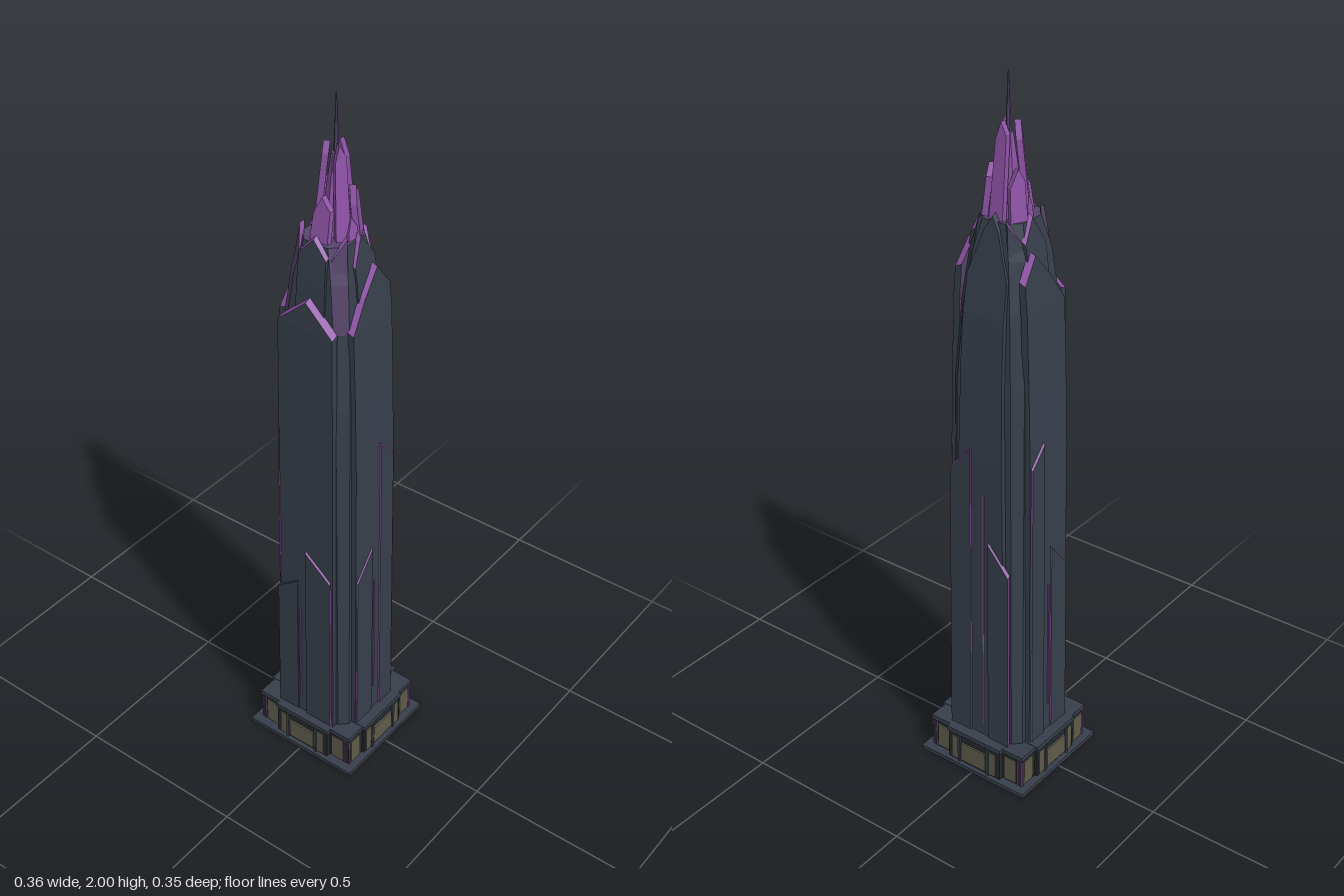
import * as THREE from 'three';

const flat = (name, color) => {
  const m = new THREE.MeshStandardMaterial({ color });
  m.name = name;
  m.flatShading = true;
  return m;
};

// Piecewise linear lookup in [[y, value], ...]
function lookup(knots, y) {
  if (y <= knots[0][0]) return knots[0][1];
  for (let i = 1; i < knots.length; i++) {
    const [y0, a] = knots[i - 1], [y1, b] = knots[i];
    if (y <= y1) return a + (b - a) * (y - y0) / (y1 - y0);
  }
  return knots[knots.length - 1][1];
}

// Geometry from quads, split into one group per material slot
function quadGeometry(slots) {
  const pos = [], geo = new THREE.BufferGeometry();
  slots.forEach((quads, slot) => {
    const start = pos.length / 3;
    for (const [a, b, c, d] of quads) pos.push(...a, ...b, ...c, ...a, ...c, ...d);
    geo.addGroup(start, pos.length / 3 - start, slot);
  });
  geo.setAttribute('position', new THREE.Float32BufferAttribute(pos, 3));
  geo.computeVertexNormals();
  return geo;
}

export function createModel() {
  const root = new THREE.Group();
  root.name = 'skyscraper';
  const slate = flat('slate cladding', 0x373f4b);
  const shade = flat('dark recess', 0x24272d);
  const violet = flat('violet glass', 0x8e53a6);
  const dusk = flat('dusky violet glass', 0x56456a);
  const khaki = flat('khaki windows', 0x5f5c4b);

  const box = (name, mat, w, h, d, x, y, z, parent = root) => {
    const m = new THREE.Mesh(new THREE.BoxGeometry(w, h, d), mat);
    m.name = name;
    m.position.set(x, y, z);
    parent.add(m);
  };

  // Curved wall slab: cols are [x, top height], reach gives distance from the axis by height.
  // Slot 0 is the outside, slot 1 the bevelled rim, slot 2 the inside; the ends may glow too.
  function panel(name, angle, cols, reach, o = {}) {
    const { bottom = 0.1, thick = 0.02, taper = 0.06, bevel = 0.008, glowEnds = false, mats = [slate, violet, dusk] } = o;
    const levels = [bottom, ...reach.map(k => k[0]).filter(y => y > bottom), 3];
    const point = (c, k, inset) => {
      const y = Math.min(levels[k], c[1]);
      const rise = inset && y === c[1] ? bevel : 0;
      return [c[0] * (1 - taper * (y - bottom)), y + rise, lookup(reach, y) - inset];
    };
    const outer = [], rim = [], inner = [], last = levels.length - 1;
    for (let i = 0; i + 1 < cols.length; i++) {
      const a = cols[i], b = cols[i + 1];
      for (let k = 0; k < last; k++) {
        if (levels[k] >= Math.max(a[1], b[1])) continue;
        outer.push([point(a, k, 0), point(b, k, 0), point(b, k + 1, 0), point(a, k + 1, 0)]);
        inner.push([point(b, k, thick), point(a, k, thick), point(a, k + 1, thick), point(b, k + 1, thick)]);
      }
      rim.push([point(a, last, 0), point(b, last, 0), point(b, last, thick), point(a, last, thick)]);
    }
    const l = cols[0], r = cols[cols.length - 1], ends = glowEnds ? rim : outer;
    for (let k = 0; k < last; k++) {
      ends.push([point(l, k, thick), point(l, k, 0), point(l, k + 1, 0), point(l, k + 1, thick)]);
      ends.push([point(r, k, 0), point(r, k, thick), point(r, k + 1, thick), point(r, k + 1, 0)]);
    }
    const m = new THREE.Mesh(quadGeometry([outer, rim, inner]), mats);
    m.name = name;
    m.rotation.y = angle;
    root.add(m);
  }
  // Same slab on both flanks, cols given as [z, top] from back to front
  function flanks(name, cols, reach, o) {
    panel(name + 'Left', Math.PI / 2, cols.map(([z, t]) => [-z, t]).reverse(), reach, o);
    panel(name + 'Right', -Math.PI / 2, cols, reach, o);
  }
  const grow = (reach, d) => reach.map(([y, r]) => [y, r + d]);

  // Ground plate and stepped podium
  box('groundPlate', slate, 0.36, 0.012, 0.348, 0, 0.006, 0);
  box('podium', shade, 0.314, 0.1, 0.294, 0, 0.062, 0);
  box('podiumCornice', slate, 0.32, 0.014, 0.3, 0, 0.109, 0);
  box('podiumBayDepth', shade, 0.18, 0.098, 0.322, 0, 0.06, 0);
  box('podiumBayWidth', shade, 0.33, 0.098, 0.17, 0, 0.06, 0);
  box('bayCorniceDepth', slate, 0.186, 0.014, 0.328, 0, 0.11, 0);
  box('bayCorniceWidth', slate, 0.336, 0.014, 0.176, 0, 0.11, 0);

  // Podium windows, pilasters and corner lights on each side
  for (let s = 0; s < 4; s++) {
    const side = new THREE.Group();
    side.name = 'podiumSide';
    side.rotation.y = s * Math.PI / 2;
    root.add(side);
    const bay = s % 2 ? 0.165 : 0.161, wall = s % 2 ? 0.157 : 0.147;
    box('entranceWindow', khaki, 0.085, 0.06, 0.006, 0, 0.05, bay + 0.002, side);
    for (const x of [-1, 1]) {
      box('bayWindow', khaki, 0.024, 0.078, 0.006, x * 0.065, 0.055, bay, side);
      box('cornerWindow', khaki, 0.04, 0.078, 0.006, x * 0.118, 0.055, wall, side);
      box('pilaster', slate, 0.008, 0.09, 0.008, x * 0.05, 0.057, bay + 0.002, side);
      box('cornerLight', violet, 0.004, 0.085, 0.006, x * 0.144, 0.055, wall, side);
    }
  }

  // Chamfered tower core: [y, half width, front z, back z, chamfer]
  const ring = ([y, w, f, b, c]) => [
    [w - c, y, f], [w, y, f - c], [w, y, c - b], [w - c, y, -b],
    [c - w, y, -b], [-w, y, c - b], [-w, y, f - c], [c - w, y, f]];
  const rings = [
    [0.1, 0.122, 0.122, 0.118, 0.022], [1.2, 0.11, 0.113, 0.104, 0.025],
    [1.42, 0.1, 0.106, 0.09, 0.028], [1.55, 0.086, 0.095, 0.074, 0.03],
    [1.64, 0.066, 0.08, 0.058, 0.03]].map(ring);
  const coreSlate = [], coreDusk = [];
  for (let k = 0; k + 1 < rings.length; k++) {
    for (let i = 0; i < 8; i++) {
      const j = (i + 1) % 8, corner = i === 0 || i === 6;
      (k >= 2 && corner ? coreDusk : coreSlate).push([rings[k][i], rings[k][j], rings[k + 1][j], rings[k + 1][i]]);
    }
  }
  const t = rings[rings.length - 1];
  coreDusk.push([t[0], t[1], t[2], t[3]], [t[0], t[3], t[4], t[7]], [t[4], t[5], t[6], t[7]]);
  const core = new THREE.Mesh(quadGeometry([coreSlate, coreDusk]), [slate, dusk]);
  core.name = 'towerCore';
  root.add(core);

  // Main wall slabs
  const front = [[0.1, 0.136], [0.7, 0.133], [1.42, 0.127], [1.5, 0.122]];
  const flank = [[0.1, 0.135], [1, 0.128], [1.2, 0.123], [1.42, 0.115], [1.57, 0.103]];
  const back = [[0.1, 0.13], [1, 0.122], [1.25, 0.114], [1.4, 0.104], [1.52, 0.085], [1.66, 0.063]];
  panel('frontWall', 0, [[-0.092, 1.42], [0, 1.495], [0.092, 1.42]], front);
  flanks('flankWall', [[-0.082, 1.5], [-0.03, 1.565], [0.03, 1.5], [0.088, 1.42]], flank);
  panel('backWall', Math.PI, [[-0.085, 1.5], [-0.03, 1.62], [0, 1.655], [0.03, 1.62], [0.085, 1.5]], back,
    { taper: 0.2, mats: [slate, slate, slate] });

  // Lower overlay slabs with sloping, glowing edges
  const low = { thick: 0.008, glowEnds: true };
  panel('frontOverlay', 0, [[0, 0.715], [0.086, 0.645]], grow(front, 0.005), low);
  panel('frontOverlay', 0, [[-0.098, 0.55], [-0.03, 0.6]], grow(front, 0.003), { thick: 0.008, mats: [slate, slate, slate] });
  flanks('flankOverlay', [[-0.076, 0.99], [-0.02, 1.045]], grow(flank, 0.005), low);
  flanks('flankOverlay', [[0.015, 0.715], [0.084, 0.635]], grow(flank, 0.004), low);
  panel('backOverlay', Math.PI, [[-0.1, 0.945], [-0.03, 1.025]], grow(back, 0.005), low);
  panel('backOverlay', Math.PI, [[0.03, 0.755], [0.1, 0.675]], grow(back, 0.005), low);

  // Glowing vertical seams
  const seam = { thick: 0.005, taper: 0.05, bevel: 0, mats: [violet, violet, violet] };
  const line = (x, top) => [[x - 0.0018, top], [x + 0.0018, top]];
  panel('frontSeam', 0, line(-0.022, 0.5), grow(front, 0.004), { ...seam, bottom: 0.18 });
  panel('frontSeam', 0, line(-0.088, 0.95), grow(front, 0.002), { ...seam, bottom: 0.6 });
  flanks('flankSeam', line(0.004, 0.6), grow(flank, 0.003), { ...seam, bottom: 0.2 });
  panel('backSeam', Math.PI, line(0.012, 0.9), grow(back, 0.002), { ...seam, bottom: 0.15 });

  // Upper shards around the shoulder
  panel('frontShard', 0, [[-0.045, 1.61], [0, 1.655], [0.045, 1.61]],
    [[1.4, 0.112], [1.55, 0.101], [1.7, 0.084]], { bottom: 1.4, thick: 0.012, taper: 0.4 });
  flanks('flankShard', [[-0.045, 1.59], [0, 1.65], [0.04, 1.58]],
    [[1.4, 0.106], [1.55, 0.091], [1.67, 0.07]], { bottom: 1.4, thick: 0.012, taper: 0.4 });
  for (const s of [-1, 1]) {
    const cols = [[-0.02, 1.61], [0.018, 1.66]];
    const slope = s > 0 ? cols : cols.map(([x, y]) => [-x, y]).reverse();
    panel('frontCornerShard', s * 0.75, slope, [[1.42, 0.122], [1.56, 0.102], [1.68, 0.083]],
      { bottom: 1.42, thick: 0.012, mats: [dusk, violet, dusk] });
    panel('backCornerShard', s * 2.3, slope.map(([x, y]) => [x, y - 0.02]),
      [[1.42, 0.113], [1.56, 0.088], [1.68, 0.068]], { bottom: 1.42, thick: 0.012 });
  }

  // Crown of leaning glass blades: [angle, half width, top, base reach, top reach]
  const glass = { bottom: 1.6, thick: 0.016, taper: 1.2, bevel: 0, mats: [violet, violet, violet] };
  const blades = [
    [0, 0.028, 1.75, 0.078, 0.05], [Math.PI, 0.022, 1.88, 0.056, 0.026],
    [0.98, 0.02, 1.88, 0.06, 0.03], [2.05, 0.024, 1.77, 0.067, 0.048],
    [1.4, 0.016, 1.7, 0.066, 0.054]];
  for (const [angle, w, top, r0, r1] of blades) {
    for (const s of Math.sin(angle) > 0.01 ? [-1, 1] : [1]) {
      panel('crownBlade', s * angle, [[-w, top - 0.045], [-s * w * 0.2, top], [w, top - 0.03]],
        [[1.6, r0], [top, r1]], glass);
    }
  }
  const heart = new THREE.Mesh(new THREE.CylinderGeometry(0.012, 0.045, 0.24, 6), violet);
  heart.name = 'crownHeart';
  heart.position.y = 1.73;
  root.add(heart);

  // Needle
  const needle = new THREE.Mesh(new THREE.CylinderGeometry(0.0015, 0.009, 0.2, 6), dusk);
  needle.name = 'needle';
  needle.position.y = 1.9;
  root.add(needle);
  return root;
}
